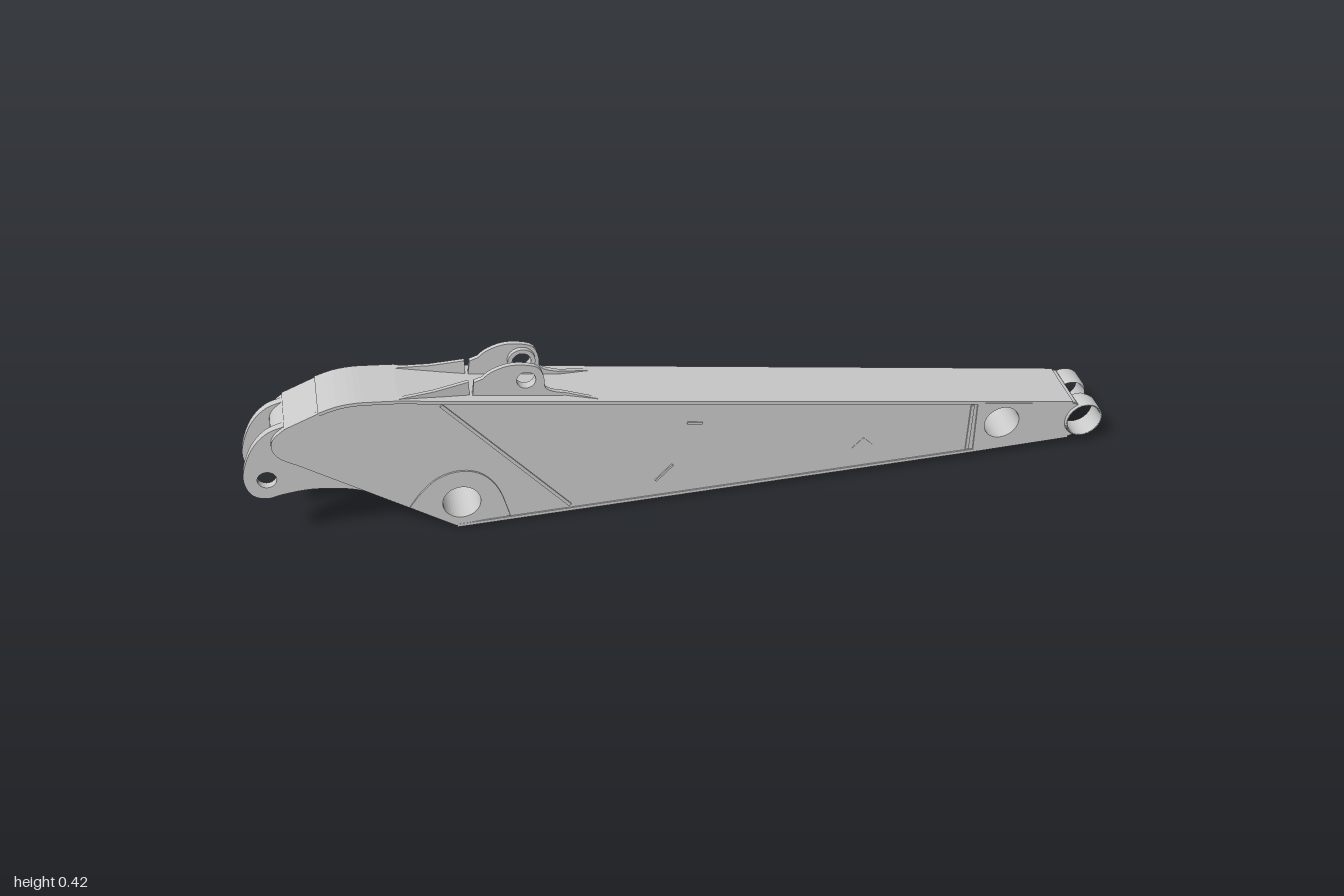
import * as THREE from 'three';

const grey = new THREE.MeshStandardMaterial({ color: 0xcccccc, side: THREE.DoubleSide });
const vecs = (pts) => pts.map(([x, y]) => new THREE.Vector2(x, y));

// Closed side profile extruded from z0 to z1, with round holes [x, y, r]
function plate(name, pts, z0, z1, holes = []) {
  const shape = new THREE.Shape(vecs(pts));
  for (const [x, y, r] of holes) {
    const path = new THREE.Path();
    path.absarc(x, y, r, 0, Math.PI * 2, true);
    shape.holes.push(path);
  }
  const geo = new THREE.ExtrudeGeometry(shape, { depth: z1 - z0, bevelEnabled: false, curveSegments: 20 });
  geo.translate(0, 0, z0);
  const mesh = new THREE.Mesh(geo, grey);
  mesh.name = name;
  return mesh;
}

// Outline of a band of width w that follows a line of points
function band(pts, w) {
  const p = vecs(pts);
  const side = (s) => p.map((q, i) => {
    const d = p[Math.min(i + 1, p.length - 1)].clone().sub(p[Math.max(i - 1, 0)]).normalize();
    return [q.x - d.y * s * w / 2, q.y + d.x * s * w / 2];
  });
  return [...side(1), ...side(-1).reverse()];
}

// Points of an arc, angles in degrees
function arc(cx, cy, r, a0, a1, n) {
  return Array.from({ length: n + 1 }, (_, i) => {
    const a = THREE.MathUtils.degToRad(a0 + (a1 - a0) * i / n);
    return [cx + r * Math.cos(a), cy + r * Math.sin(a)];
  });
}

// Curve smoothed through a few points
const smooth = (pts, n) => new THREE.SplineCurve(vecs(pts)).getPoints(n).map((p) => [p.x, p.y]);

export function createModel() {
  const model = new THREE.Group();
  const add = (m) => { model.add(m); return m; };
  const both = (make) => [1, -1].forEach((s) => add(make(s)));
  const sided = (name, pts, s, a, b, holes) =>
    plate(name, pts, Math.min(s * a, s * b), Math.max(s * a, s * b), holes);

  const pivot = [-0.535, 0.075, 0.043];
  const link = [0.745, 0.095, 0.043];
  const tip = [0.953, 0.073];

  // Box-section arm with rounded nose and a concave end that seats the tip bosses
  const nose = smooth([[-0.88, 0.236], [-0.915, 0.26], [-0.929, 0.288], [-0.922, 0.314], [-0.895, 0.337]], 14);
  const crown = smooth([[-0.82, 0.366], [-0.78, 0.377], [-0.74, 0.38], [-0.7, 0.377], [-0.65, 0.372]], 12);
  const seat = arc(tip[0], tip[1], 0.047, 112, 246, 16);
  add(plate('armBody', [[-0.55, 0.006], ...nose, ...crown, [-0.55, 0.357], [-0.2, 0.302],
    [0.93, 0.124], ...seat, [0.92, 0.021], [0.67, 0.018]], -0.067, 0.067, [pivot, link]));

  // Overhanging cover and floor plates
  add(plate('topPlate', band([...crown, [-0.55, 0.355], [-0.2, 0.3], [0.92, 0.124]], 0.008), -0.07, 0.07));
  add(plate('nosePlate', band([[-0.895, 0.335], [-0.825, 0.363]], 0.006), -0.069, 0.069));
  add(plate('bottomPlate', band([[-0.55, 0.009], [0.67, 0.021], [0.92, 0.026]], 0.008), -0.07, 0.07));

  // Tip casting cheeks
  both((s) => sided('tipCheek', [[0.68, 0.024], [0.92, 0.027], ...seat.slice().reverse(), [0.92, 0.124], [0.68, 0.161]],
    s, 0.066, 0.0705, [link]));

  // Hollow tip bosses with chamfered inner ends
  both((s) => {
    const prof = [[0.041, 0.022], [0.0415, 0.022], [0.046, 0.034], [0.046, 0.075], [0.041, 0.075], [0.041, 0.022]];
    const geo = new THREE.LatheGeometry(vecs(prof), 36).toNonIndexed();
    geo.rotateX(s * Math.PI / 2);
    geo.translate(tip[0], tip[1], 0);
    const m = new THREE.Mesh(geo, grey);
    m.name = 'tipBoss';
    return m;
  });

  // Rear cylinder ears
  const ear = [
    ...smooth([[-0.66, 0.09], [-0.74, 0.13], [-0.79, 0.147], [-0.86, 0.157], [-0.92, 0.153], [-0.955, 0.147],
      [-0.985, 0.16], [-0.999, 0.195], [-0.994, 0.235], [-0.97, 0.287], [-0.935, 0.322], [-0.895, 0.336]], 48),
    [-0.8, 0.35], [-0.66, 0.2]];
  both((s) => sided('rearEar', ear, s, 0.037, 0.055, [[-0.95, 0.198, 0.021]]));

  // Pivot collars, raised around the main pin hole
  const arch = smooth([[-0.648, 0.078], [-0.62, 0.115], [-0.58, 0.149], [-0.53, 0.16], [-0.485, 0.143],
    [-0.452, 0.095], [-0.432, 0.018]], 24);
  both((s) => sided('pivotCollar', [...arch, [-0.55, 0.012]], s, 0.066, 0.0695, [pivot]));
  both((s) => sided('collarWeld', band(arch, 0.007), s, 0.066, 0.071));

  // Weld beads and small pads on the side plates
  const welds = [
    [[-0.56, 0.348], [-0.29, 0.024]],
    [[0.665, 0.028], [0.668, 0.156]],
    [[-0.09, 0.06], [-0.05, 0.1]],
    [[-0.015, 0.214], [0.02, 0.208]],
  ];
  welds.forEach((w, i) => both((s) => sided('sideWeld', band(w, i < 2 ? 0.008 : 0.005), s, 0.066, 0.0705)));
  both((s) => sided('sidePad', arc(0.405, 0.077, 0.026, 0, 270, 3), s, 0.066, 0.068));

  // Top bracket: drilled centre plates with inner bosses, and wings splayed outward
  const eye = [-0.37, 0.372, 0.021];
  const centre = [[-0.49, 0.34], [-0.484, 0.383],
    ...smooth([[-0.465, 0.389], [-0.445, 0.404], [-0.41, 0.415], [-0.375, 0.413], [-0.343, 0.401],
      [-0.331, 0.375], [-0.329, 0.345], [-0.31, 0.332]], 24), [-0.29, 0.326], [-0.29, 0.306]];
  const wings = [
    [[-0.655, 0.366], [-0.65, 0.376], [-0.57, 0.377], [-0.495, 0.385], [-0.495, 0.342]],
    [[-0.29, 0.308], [-0.29, 0.326], [-0.215, 0.307], [-0.215, 0.297]],
  ];
  both((s) => sided('topBracket', centre, s, 0.036, 0.047, [eye]));
  both((s) => sided('bracketBoss', arc(eye[0], eye[1], 0.031, 0, 345, 23), s, 0.025, 0.037, [eye]));
  wings.forEach((w) => both((s) => {
    const m = sided('bracketWing', w, s, 0.036, 0.045);
    const pos = m.geometry.attributes.position;
    for (let i = 0; i < pos.count; i++) {
      const x = pos.getX(i);
      const splay = x < -0.4 ? (-0.49 - x) * 0.12 : (x + 0.29) * 0.2;
      pos.setZ(i, pos.getZ(i) + s * Math.max(0, splay));
    }
    m.geometry.computeVertexNormals();
    return m;
  }));

  // Seam across the crown
  const seam = add(new THREE.Mesh(new THREE.BoxGeometry(0.012, 0.006, 0.138), grey));
  seam.name = 'crownSeam';
  seam.position.set(-0.82, 0.365, 0);
  seam.rotation.z = 0.4;

  // Wear strips under the floor
  both((s) => sided('floorStrip', [[-0.31, 0], [-0.27, 0], [-0.26, 0.012], [-0.32, 0.012]], s, 0.036, 0.048));
  both((s) => sided('floorRail', band([[0.2, 0.011], [0.68, 0.016]], 0.006), s, 0.039, 0.045));

  return model;
}
